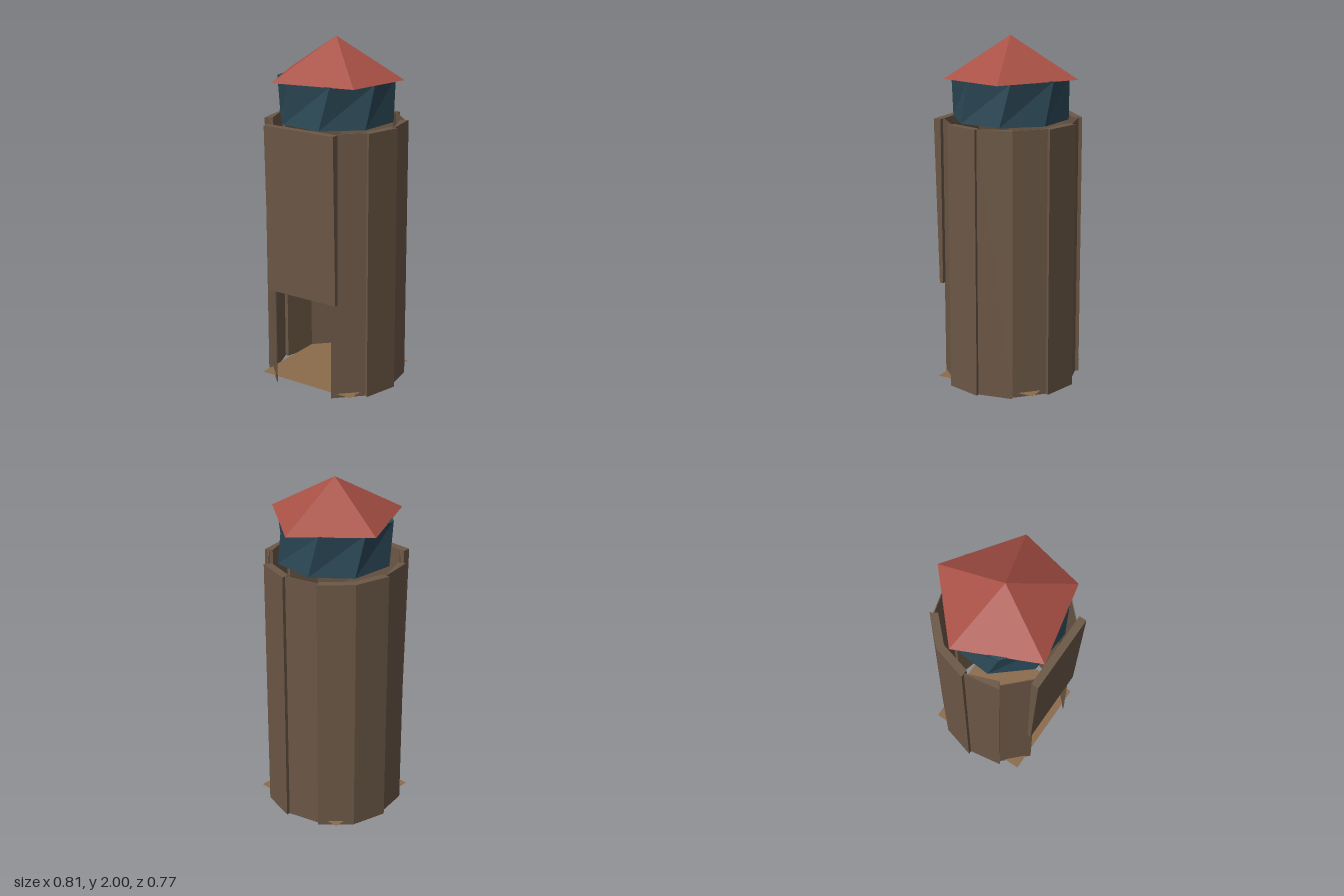
import * as THREE from 'three';

const CENTER_Z = 0.02;
const material = (color) => new THREE.MeshStandardMaterial({ color, flatShading: true, side: THREE.DoubleSide });

export function createModel() {
  const group = new THREE.Group();
  const wood = material(0x6b5746);
  const add = (name, geometry, mat) => {
    const mesh = new THREE.Mesh(geometry, mat);
    mesh.name = name;
    group.add(mesh);
    return mesh;
  };

  // Upright plank along one side of the twelve-sided wall; its thickness may differ at each end
  const wallRadius = 0.381, wallHeight = 1.535;
  const plank = (index, startThickness, endThickness) => {
    const a = (index * Math.PI) / 6, b = a + Math.PI / 6;
    const point = (angle, offset) =>
      new THREE.Vector2((wallRadius + offset) * Math.sin(angle), -(wallRadius + offset) * Math.cos(angle));
    const shape = new THREE.Shape([
      point(a, startThickness / 2), point(b, endThickness / 2),
      point(b, -endThickness / 2), point(a, -startThickness / 2),
    ]);
    const geometry = new THREE.ExtrudeGeometry(shape, { depth: wallHeight, bevelEnabled: false });
    geometry.rotateX(-Math.PI / 2).translate(0, 0, CENTER_Z);
    add('wallPlank', geometry, wood);
  };

  // Planks run from the front round the left side; sides 0 and 11 are left open for the doorway
  const thin = 0.005, thick = 0.046;
  const thicknesses = [
    [thin, thin], [thick, thick], [thin, thick], [thin, thin], [thick, thick],
    [thin, thin], [thick, thick], [thick, thick], [thin, thick], [thin, thin],
  ];
  thicknesses.forEach(([start, end], i) => plank(i + 1, start, end));

  // Hanging panel above the doorway, tapering towards its lower edge
  const panel = new THREE.BoxGeometry(0.46, 0.965, 0.044);
  const p = panel.attributes.position;
  for (let i = 0; i < p.count; i++) {
    if (p.getY(i) < 0 && p.getZ(i) > 0) p.setZ(i, 0);
  }
  add('doorPanel', panel, wood).position.set(0, 1.0525, 0.363);

  // Square floor sheet whose corners poke through the wall
  const floor = new THREE.PlaneGeometry(0.62, 0.62).rotateX(-Math.PI / 2);
  add('floor', floor, material(0x8b6b4b)).position.set(0, 0.025, CENTER_Z);

  // Eight-sided lantern drum with a slight twist
  const drum = new THREE.CylinderGeometry(0.33, 0.33, 0.24, 8);
  const d = drum.attributes.position;
  const v = new THREE.Vector3(), up = new THREE.Vector3(0, 1, 0);
  for (let i = 0; i < d.count; i++) {
    v.fromBufferAttribute(d, i);
    v.applyAxisAngle(up, THREE.MathUtils.degToRad(22.5 + (v.y > 0 ? 6 : -4.5)));
    d.setXYZ(i, v.x, v.y, v.z);
  }
  add('drum', drum, material(0x2b4856)).position.set(0, 1.657, CENTER_Z);

  // Five-sided pointed roof with an uneven outline
  const eaves = [[-0.03, -0.385], [0.37, -0.1], [0.29, 0.28], [-0.175, 0.38], [-0.38, -0.065]];
  const eaveY = 1.775;
  const corners = [];
  eaves.forEach(([ax, az], i) => {
    const [bx, bz] = eaves[(i + 1) % eaves.length];
    corners.push(bx, eaveY, bz, ax, eaveY, az, 0, 2, CENTER_Z);
    corners.push(ax, eaveY, az, bx, eaveY, bz, 0, eaveY, CENTER_Z);
  });
  const roof = new THREE.BufferGeometry();
  roof.setAttribute('position', new THREE.Float32BufferAttribute(corners, 3));
  roof.computeVertexNormals();
  add('roof', roof, material(0xa85045));

  return group;
}
